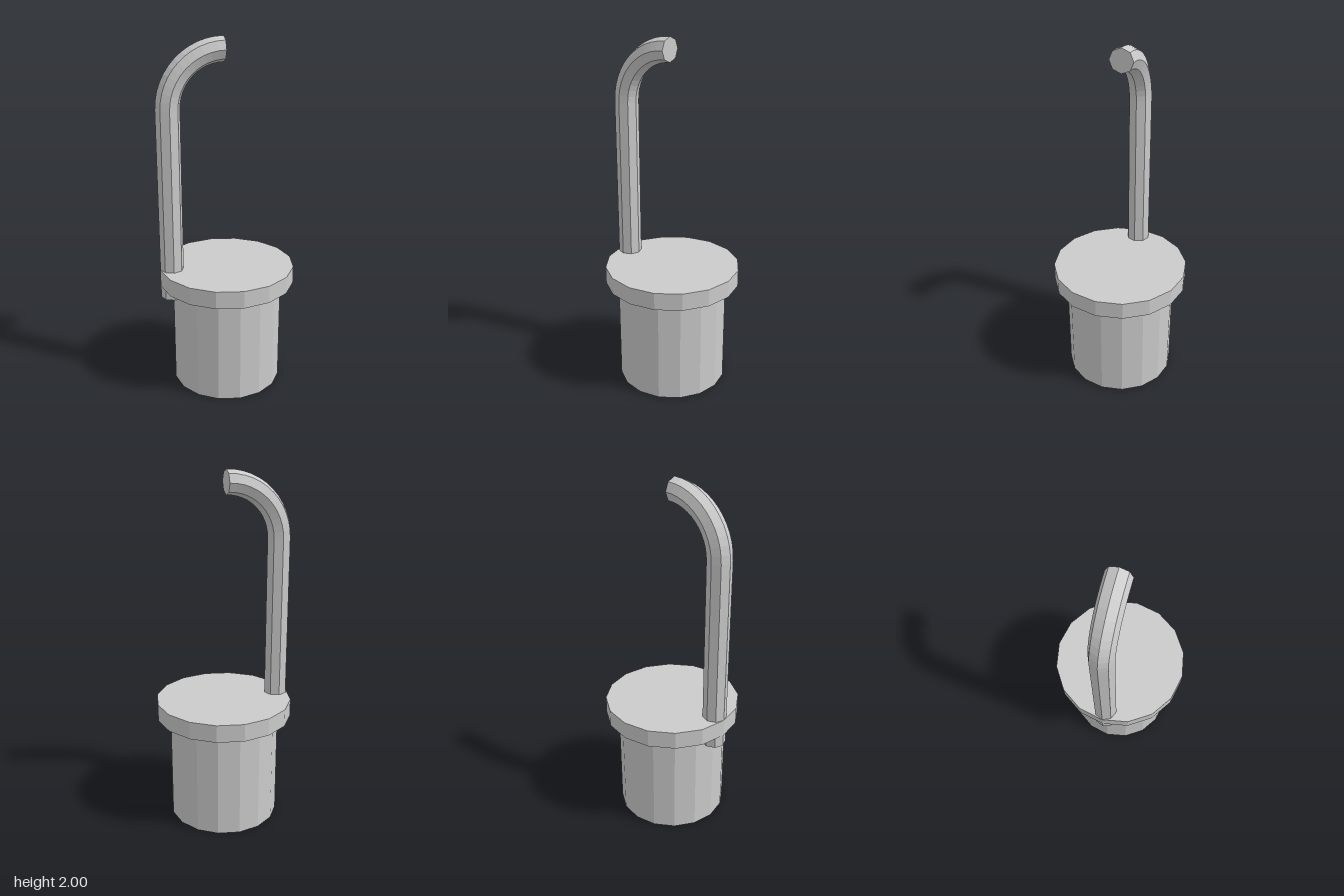
import * as THREE from 'three';

export function createModel() {
  const model = new THREE.Group();
  const material = new THREE.MeshStandardMaterial({ color: 0xcccccc, flatShading: true });

  const add = (parent, name, geometry, x, y) => {
    const mesh = new THREE.Mesh(geometry, material);
    mesh.name = name;
    mesh.position.set(x, y, 0);
    parent.add(mesh);
  };
  const drum = (radius, bottom, top, sides, open = false) =>
    new THREE.CylinderGeometry(radius, radius, top - bottom, sides, 1, open)
      .translate(0, (top - bottom) / 2, 0);

  // Sixteen-sided body with a wider lid
  add(model, 'body', drum(0.315, 0, 0.615, 16), 0, 0);
  add(model, 'lid', drum(0.388, 0.615, 0.715, 16), 0, 0.615);

  // Eight-sided pipe, passing through the lid's edge and bending over the centre
  const pipe = new THREE.Group();
  pipe.name = 'pipe';
  model.add(pipe);
  const r = 0.067, bend = 0.305, endX = -0.015, bendY = 1.628, bottomY = 0.545;
  add(pipe, 'pipeUpright', drum(r, bottomY, bendY, 8, true), endX - bend, bottomY);
  add(pipe, 'pipeBend',
    new THREE.TorusGeometry(bend, r, 8, 12, Math.PI / 2).rotateZ(Math.PI / 2), endX, bendY);

  // Closed ends of the pipe
  add(pipe, 'pipeOutletCap', new THREE.CircleGeometry(r, 8).rotateY(Math.PI / 2), endX, bendY + bend);
  add(pipe, 'pipeBottomCap', new THREE.CircleGeometry(r, 8).rotateX(Math.PI / 2), endX - bend, bottomY);

  return model;
}
